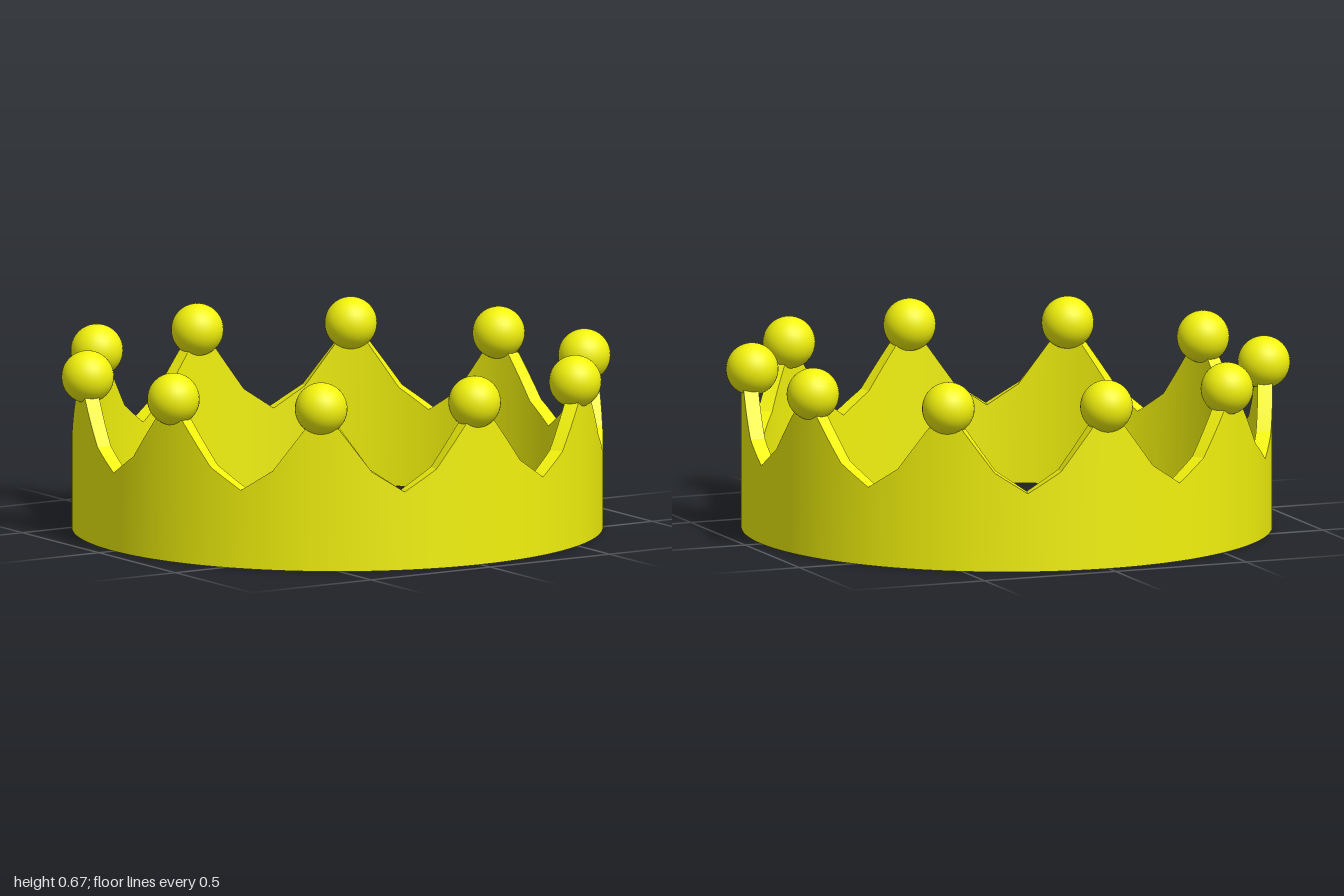
import * as THREE from 'three';
import { toCreasedNormals } from 'three/addons/utils/BufferGeometryUtils.js';

const TEETH = 10;
const STEPS = 20; // segments per tooth
const OUTER = 0.938, INNER = 0.885;

// Tooth outline from tip to valley: [steps from the tip, height]
const PROFILE = [[0, 0.51], [2, 0.51], [6, 0.355], [10, 0.28]];

function toothHeight(step) {
  const m = step % STEPS;
  const d = Math.min(m, STEPS - m);
  const k = PROFILE.findIndex((p, i) => i > 0 && d <= p[0]);
  const [d0, y0] = PROFILE[k - 1], [d1, y1] = PROFILE[k];
  return y0 + (y1 - y0) * (d - d0) / (d1 - d0);
}

// Sweep a four-cornered wall section around the circle, its top following the teeth
function bandGeometry() {
  const count = TEETH * STEPS, positions = [], index = [];
  for (let i = 0; i < count; i++) {
    const a = i / count * Math.PI * 2, h = toothHeight(i);
    for (const [r, y] of [[OUTER, 0], [OUTER, h], [INNER, h], [INNER, 0]]) {
      positions.push(r * Math.sin(a), y, r * Math.cos(a));
    }
    const n = (i + 1) % count;
    for (let j = 0; j < 4; j++) {
      const k = (j + 1) % 4;
      const p = i * 4 + j, q = n * 4 + j, s = n * 4 + k, t = i * 4 + k;
      index.push(p, q, s, p, s, t);
    }
  }
  const geometry = new THREE.BufferGeometry();
  geometry.setAttribute('position', new THREE.Float32BufferAttribute(positions, 3));
  geometry.setIndex(index);
  return toCreasedNormals(geometry, 0.2);
}

export function createModel() {
  const crown = new THREE.Group();
  crown.name = 'crown';
  const gold = new THREE.MeshStandardMaterial({ color: 0xf2f20d });

  // Toothed band
  const band = new THREE.Mesh(bandGeometry(), gold);
  band.name = 'band';
  crown.add(band);

  // A ball on each tip
  const balls = new THREE.Group();
  balls.name = 'balls';
  balls.position.set(-0.003, 0.577, -0.004);
  const ballGeometry = new THREE.SphereGeometry(0.093, 32, 20);
  for (let i = 0; i < TEETH; i++) {
    const a = i / TEETH * Math.PI * 2;
    const ball = new THREE.Mesh(ballGeometry, gold);
    ball.name = 'ball' + (i + 1);
    ball.position.set(0.906 * Math.sin(a), 0, 0.906 * Math.cos(a));
    balls.add(ball);
  }
  crown.add(balls);
  return crown;
}
